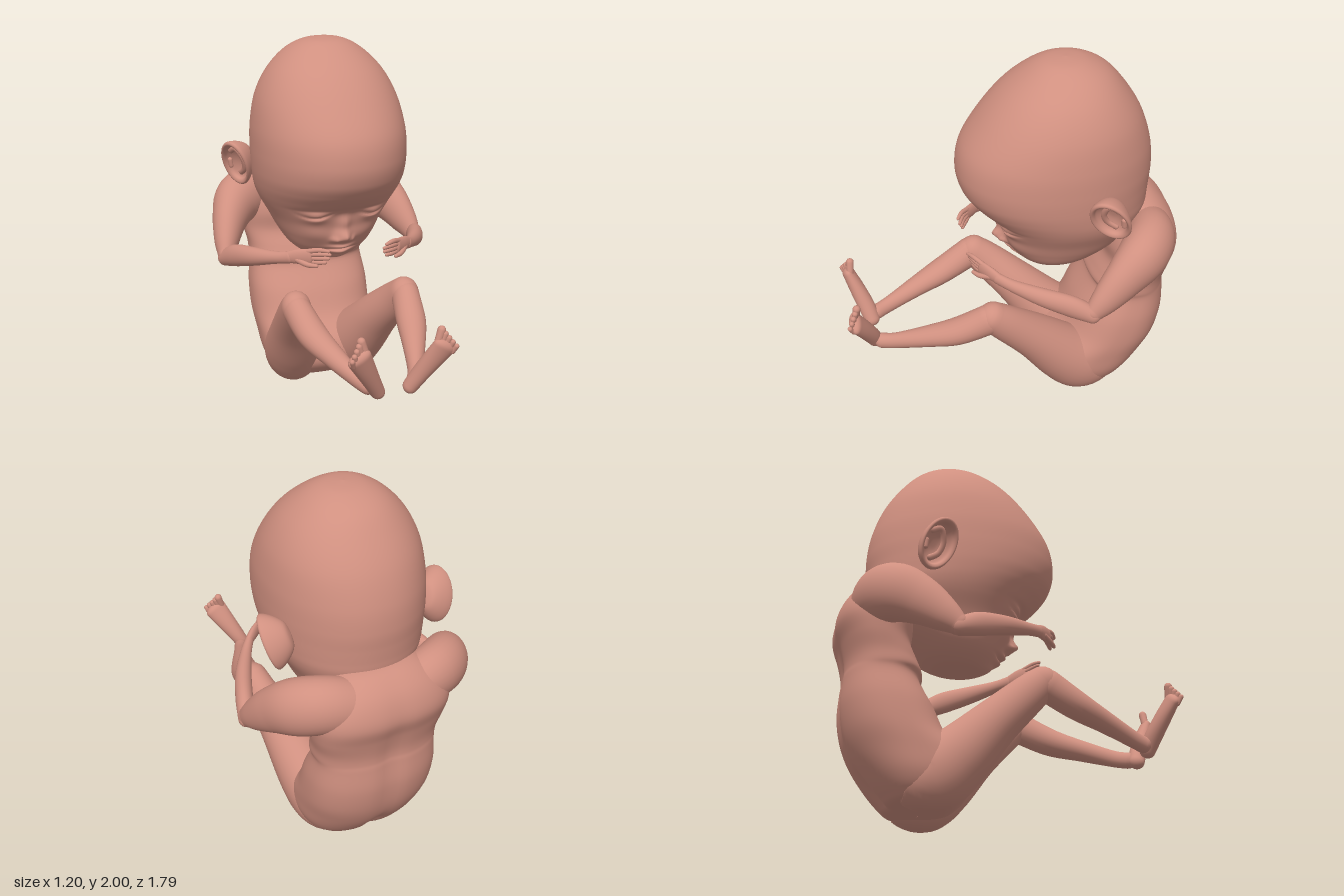
import * as THREE from 'three';
import { mergeVertices } from 'three/addons/utils/BufferGeometryUtils.js';

const skinMaterial = new THREE.MeshStandardMaterial({ color: 0xd09080 });
skinMaterial.name = 'skin';

const V = (x, y, z) => new THREE.Vector3(x, y, z);
const bump = (x, y, sx, sy) => Math.exp(-((x / sx) ** 2) - (y / sy) ** 2);

// Catmull-Rom through rows of numbers, t from 0 to 1
function spline(rows, t) {
  const last = rows.length - 1;
  const i = Math.min(Math.floor(t * last), last - 1), f = t * last - i;
  const row = k => rows[Math.min(Math.max(k, 0), last)];
  return rows[0].map((_, c) => {
    const a = row(i - 1)[c], b = row(i)[c], d = row(i + 1)[c], e = row(i + 2)[c];
    const m0 = (d - a) / 2, m1 = (e - b) / 2;
    return b + f * (m0 + f * (3 * (d - b) - 2 * m0 - m1 + f * (2 * (b - d) + m0 + m1)));
  });
}

// Closed smooth skin over a list of equally long rings
function skin(name, rings) {
  const n = rings[0].length, index = [], pos = [];
  rings.forEach(r => r.forEach(p => pos.push(p.x, p.y, p.z)));
  for (let i = 0; i < rings.length - 1; i++) {
    for (let j = 0; j < n; j++) {
      const k = (j + 1) % n, a = i * n + j, b = i * n + k, c = b + n, d = a + n;
      index.push(a, b, c, a, c, d);
    }
  }
  let geo = new THREE.BufferGeometry();
  geo.setAttribute('position', new THREE.Float32BufferAttribute(pos, 3));
  geo.setIndex(index);
  geo = mergeVertices(geo, 1e-5);
  geo.computeVertexNormals();
  const mesh = new THREE.Mesh(geo, skinMaterial);
  mesh.name = name;
  return mesh;
}

// Horizontal sections, top to bottom: [y, front z, back z, half width]
function stack(name, rows, n, steps, power, sculpt) {
  const rings = [], total = (rows.length - 1) * steps;
  const sp = v => Math.sign(v) * Math.abs(v) ** (2 / power);
  for (let i = 0; i <= total; i++) {
    const [y, zf, zb, w] = spline(rows, i / total);
    const ring = [];
    for (let j = 0; j < n; j++) {
      const a = (j / n) * Math.PI * 2, s = Math.sin(a);
      const x = Math.max(w, 0) * sp(Math.cos(a));
      const z = (zf + zb) / 2 + ((zf - zb) / 2) * sp(s);
      ring.push(V(x, y, z + sculpt(x, y, s)));
    }
    rings.push(ring);
  }
  return skin(name, rings);
}

// Round-ended limb through [x, y, z, radius along side, other radius]
function limb(name, rows, side, n = 24, steps = 8) {
  const rings = [], total = (rows.length - 1) * steps, capSteps = 6;
  const addRing = (t, k, dir) => {
    const [x, y, z, ru, rv] = spline(rows, t);
    const p0 = spline(rows, Math.max(t - 0.01, 0)), p1 = spline(rows, Math.min(t + 0.01, 1));
    const tan = V(p1[0] - p0[0], p1[1] - p0[1], p1[2] - p0[2]).normalize();
    const u = side.clone().addScaledVector(tan, -side.dot(tan)).normalize();
    const v = tan.clone().cross(u);
    const ang = k * Math.PI / 2, c = Math.cos(ang);
    const o = V(x, y, z).addScaledVector(tan, dir * Math.min(ru, rv) * Math.sin(ang));
    const ring = [];
    for (let j = 0; j < n; j++) {
      const a = (j / n) * Math.PI * 2;
      ring.push(o.clone().addScaledVector(u, ru * c * Math.cos(a)).addScaledVector(v, rv * c * Math.sin(a)));
    }
    rings.push(ring);
  };
  for (let k = capSteps; k > 0; k--) addRing(0, k / capSteps, -1);
  for (let i = 0; i <= total; i++) addRing(i / total, 0, 0);
  for (let k = 1; k <= capSteps; k++) addRing(1, k / capSteps, 1);
  return skin(name, rings);
}

function makeHead() {
  const rows = [
    [2, -.29, -.29, 0], [1.985, -.18, -.4, .11], [1.93, -.08, -.51, .21], [1.83, .04, -.6, .305],
    [1.7, .15, -.68, .37], [1.55, .245, -.73, .4], [1.42, .27, -.745, .405], [1.32, .25, -.74, .4],
    [1.25, .205, -.735, .39], [1.19, .15, -.73, .375], [1.13, .1, -.71, .35], [1.05, .055, -.67, .305],
    [.97, .015, -.6, .265], [.9, -.03, -.5, .22], [.85, -.08, -.42, .16], [.82, -.13, -.34, .09], [.81, -.22, -.22, 0]];
  // Closed eyes, nose, lips, cheeks and chin raised from the front
  const face = (x, y, s) => {
    if (s <= 0 || y > 1.4) return 0;
    const ax = Math.abs(x), lid = y - 1.105 - 3 * (ax - .165) ** 2;
    return s * (
      -.04 * bump(x, y - 1.12, .16, .055) - .02 * bump(x, y - 1.04, .14, .05)
      + .03 * bump(x, y - 1.06, .03, .06) + .06 * bump(x, y - .985, .038, .038) + .028 * bump(ax - .045, y - .968, .02, .018)
      + .026 * bump(ax - .165, y - 1.1, .07, .032) - .022 * bump(ax - .165, lid, .065, .008)
      - .012 * bump(ax - .16, y - 1.15, .09, .012) + .02 * bump(ax - .17, y - 1.0, .08, .06)
      + .03 * bump(x, y - .917, .06, .014) + .03 * bump(x, y - .882, .055, .015)
      - .022 * bump(x, y - .9, .09, .007) + .022 * bump(x, y - .84, .06, .025));
  };
  return stack('head', rows, 128, 11, 2.1, face);
}

function makeTorso() {
  const rows = [
    [1.215, -.66, -.66, 0], [1.2, -.56, -.76, .17], [1.14, -.52, -.835, .28], [1.06, -.5, -.88, .345],
    [.97, -.49, -.895, .37], [.87, -.5, -.865, .36], [.78, -.46, -.845, .34], [.72, -.435, -.84, .335],
    [.67, -.445, -.845, .328], [.54, -.37, -.85, .345], [.4, -.3, -.825, .345], [.28, -.19, -.775, .333],
    [.17, -.17, -.7, .315], [.09, -.23, -.63, .27], [.05, -.31, -.575, .2], [.03, -.43, -.43, 0]];
  // Spine groove and the fold between the buttocks
  const groove = (x, y, s) => s >= 0 ? 0
    : -s * (.018 * bump(x, y - .65, .06, .35) + .045 * bump(x, y - .14, .04, .1));
  return stack('torso', rows, 72, 6, 2.4, groove);
}

function makeEar(s) {
  const ear = new THREE.Group();
  ear.name = s > 0 ? 'leftEar' : 'rightEar';
  // Cupped shell with a closed, rounded back and a rolled rim
  const profile = [[0, -1.1], [.4, -1.02], [.66, -.75], [.88, -.35], [1, 0], [.98, .14], [.9, .18], [.8, .08],
    [.74, -.14], [.5, -.36], [.25, -.48], [0, -.5]].map(p => new THREE.Vector2(...p));
  const shell = new THREE.LatheGeometry(new THREE.SplineCurve(profile).getPoints(40), 40);
  shell.scale(.1, .095, .144);
  const cup = new THREE.Mesh(shell, skinMaterial);
  cup.name = 'earShell';
  // Inner ridge and the small flap over the opening
  const ridge = [[-.6, .3], [-.15, .55], [.35, .2], [.4, -.25], [.05, -.6]]
    .map(([a, b]) => [s * a * .092, -.02, b * .14, .012, .016]);
  const flap = [[-s * .062, -.012, -.02, .012, .014], [-s * .052, -.005, -.055, .012, .014]];
  ear.add(cup, limb('earRidge', ridge, V(0, 1, 0), 12), limb('earFlap', flap, V(0, 1, 0), 12));
  // Lean the ear forward and out from the head
  const normal = V(s * .82, -.38, .42).normalize();
  const up = V(s * .1, .23, .14);
  up.addScaledVector(normal, -up.dot(normal)).normalize();
  const m = new THREE.Matrix4().makeBasis(normal.clone().cross(up), normal, up);
  ear.quaternion.setFromRotationMatrix(m);
  ear.position.set(s * .455, 1.315, -.43);
  return ear;
}

function makeSide(s) {
  const g = new THREE.Group();
  g.name = s > 0 ? 'leftLimbs' : 'rightLimbs';
  const add = (name, rows, side, n, steps) =>
    g.add(limb(name, rows.map(([x, ...r]) => [s * x, ...r]), V(s * side[0], side[1], side[2]), n, steps));
  const lerp = THREE.MathUtils.lerp;

  // Arm
  add('upperArm', [[.14, 1.03, -.72, .13, .12], [.3, 1.06, -.695, .15, .128], [.41, 1.035, -.62, .15, .125],
    [.483, .965, -.51, .122, .095], [.53, .88, -.405, .086, .068], [.552, .825, -.34, .055, .045]], [0, 1, 0], 32);
  add('forearm', [[.557, .812, -.335, .046, .042], [.52, .855, -.23, .06, .045], [.46, .89, -.09, .05, .042],
    [.385, .92, .04, .034, .03], [.33, .94, .115, .032, .022]], [0, 1, 0]);
  add('palm', [[.345, .938, .1, .028, .02], [.295, .95, .145, .04, .02], [.245, .957, .185, .042, .016]], [0, 1, 0], 20);
  for (let i = 0; i < 4; i++) {
    const f = i / 3, reach = [.01, 0, .005, .02][i];
    add('finger', [[.25, lerp(.985, .93, f), lerp(.18, .175, f), .013, .013],
      [.205, lerp(.997, .925, f), lerp(.215, .2, f), .013, .012],
      [.15 + reach, lerp(.993, .925, f), lerp(.24, .215, f), .009, .009]], [0, 1, 0], 12, 5);
  }
  add('thumb', [[.3, .935, .15, .016, .015], [.26, .918, .195, .014, .013], [.22, .915, .222, .01, .01]], [0, 1, 0], 12, 5);

  // Leg, starting from the buttock
  add('thigh', [[.155, .21, -.46, .14, .18], [.17, .19, -.38, .158, .185], [.195, .275, -.27, .155, .165],
    [.24, .45, -.1, .125, .125], [.287, .6, .06, .092, .1], [.305, .67, .14, .078, .085]], [1, 0, 0], 32);
  add('shin', [[.305, .655, .16, .075, .085], [.272, .575, .32, .078, .072], [.22, .52, .48, .06, .056],
    [.16, .467, .64, .04, .045], [.125, .45, .715, .04, .044]], [1, 0, 0]);
  add('foot', [[.088, .432, .748, .038, .042], [.125, .5, .772, .044, .046], [.175, .59, .812, .054, .042],
    [.22, .67, .85, .063, .034]], [.8, -.45, 0]);
  for (let i = 0; i < 5; i++) {
    const f = i / 4, r = i ? lerp(.017, .013, f) : .021;
    add('toe', [[lerp(.188, .255, f), lerp(.695, .64, f), lerp(.842, .866, f), r * .9, r * .9],
      [lerp(.207, .268, f), lerp(.752, .675, f), lerp(.838, .882, f), r, r]], [.8, -.45, 0], 12, 4);
  }
  return g;
}

export function createModel() {
  const model = new THREE.Group();
  model.name = 'baby';
  model.add(makeHead(), makeTorso());
  model.add(limb('neck', [[0, .98, -.64, .2, .17], [0, 1.2, -.52, .2, .18]], V(1, 0, 0)));
  for (const s of [1, -1]) model.add(makeEar(s), makeSide(s));
  return model;
}
